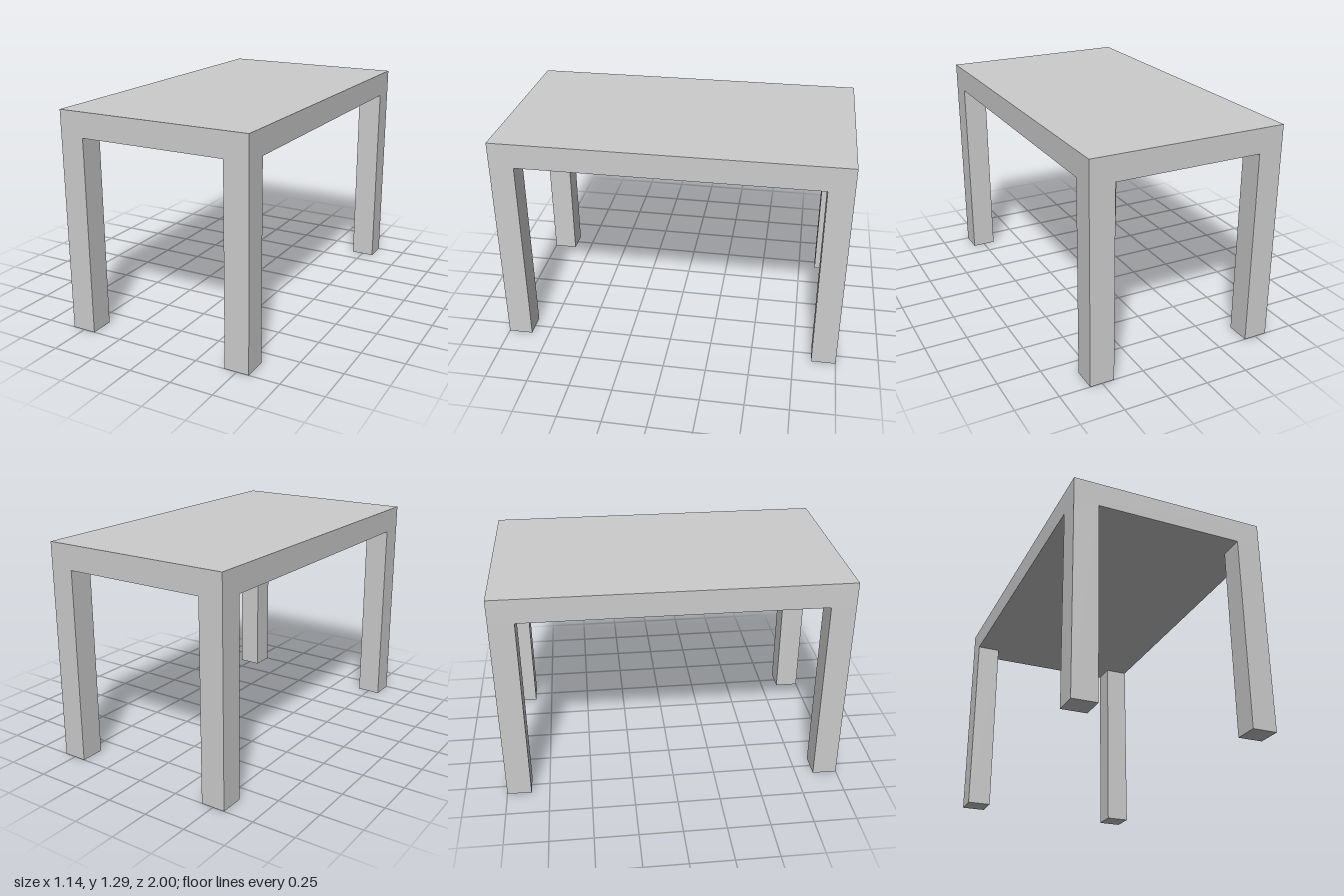
import * as THREE from 'three';

export function createModel() {
  const group = new THREE.Group();
  group.name = 'table';
  const material = new THREE.MeshStandardMaterial({ color: 0xcccccc });

  // All proportions are multiples of the leg thickness
  const t = 1 / 7;
  const width = 8 * t, length = 14 * t, legHeight = 8 * t;

  function addBox(name, w, h, d, x, y, z) {
    const mesh = new THREE.Mesh(new THREE.BoxGeometry(w, h, d), material);
    mesh.name = name;
    mesh.position.set(x, y, z);
    group.add(mesh);
  }

  // Solid slab top
  addBox('tableTop', width, t, length, 0, legHeight + t / 2, 0);

  // Square legs flush with the corners
  for (const [side, sx] of [['Left', 1], ['Right', -1]]) {
    for (const [end, sz] of [['front', 1], ['back', -1]]) {
      addBox(`${end}${side}Leg`, t, legHeight, t,
        sx * (width - t) / 2, legHeight / 2, sz * (length - t) / 2);
    }
  }

  return group;
}
